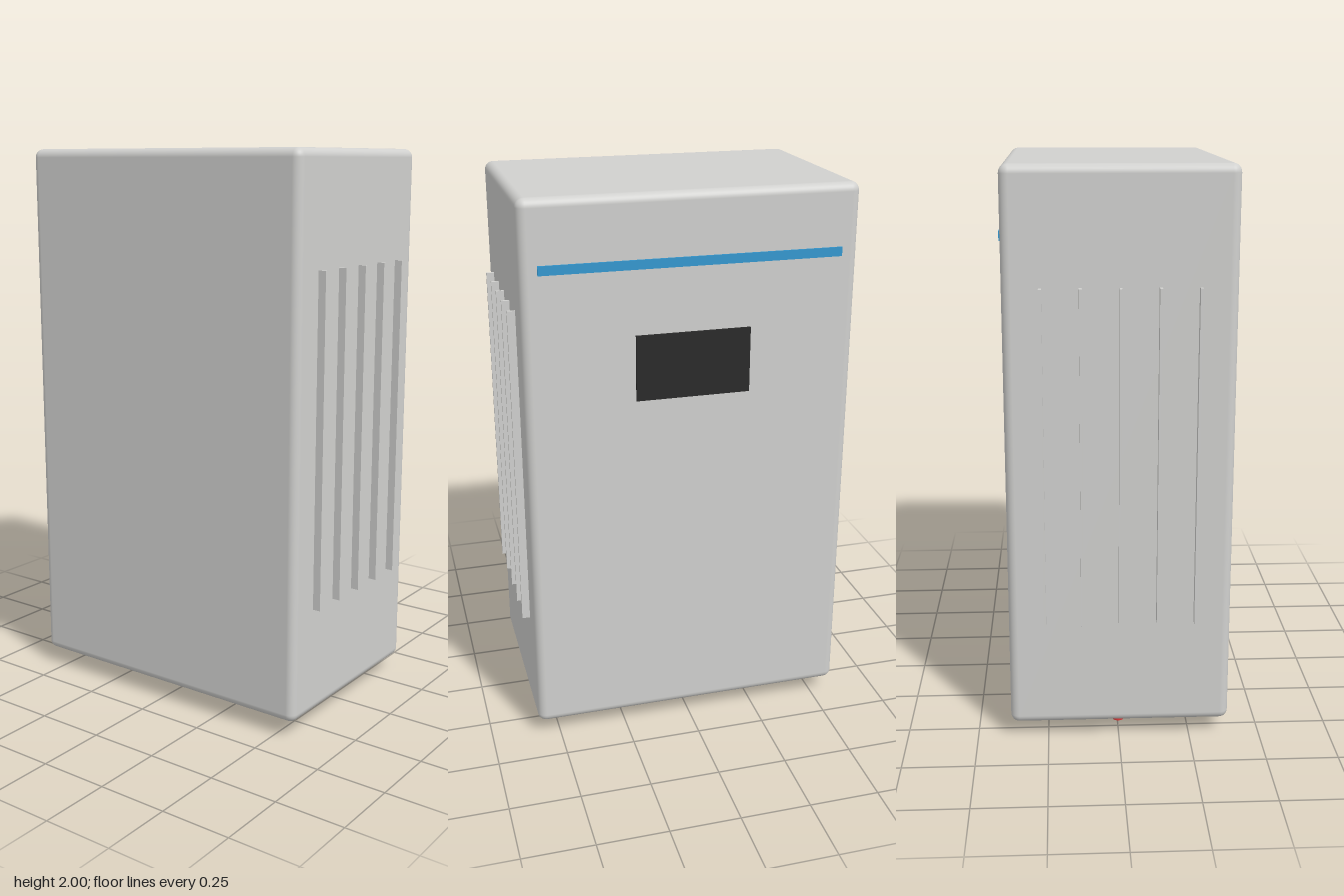
import * as THREE from 'three';
import { RoundedBoxGeometry } from 'three/addons/geometries/RoundedBoxGeometry.js';

const material = (name, color) => {
  const m = new THREE.MeshStandardMaterial({ color });
  m.name = name;
  return m;
};

export function createModel() {
  const casing = material('casing grey', 0xd0d0ce);
  const glass = material('display black', 0x2a2a2a);
  const blue = material('stripe blue', 0x3498d0);
  const red = material('terminal red', 0xd93636);

  const model = new THREE.Group();
  model.name = 'wallCabinet';

  const add = (name, geometry, mat, x, y, z) => {
    const mesh = new THREE.Mesh(geometry, mat);
    mesh.name = name;
    mesh.position.set(x, y, z);
    model.add(mesh);
  };

  const midZ = 0.003; // depth centre of the cabinet
  const bottomY = 0.06; // underside of the cabinet

  // Cabinet body
  add('cabinet', new RoundedBoxGeometry(1.16, 1.94, 0.77, 4, 0.03), casing, 0, 1.03, midZ);

  // Accent stripe and display on the back
  add('accentStripe', new THREE.BoxGeometry(1.04, 0.032, 0.008), blue, 0, 1.77, -0.383);
  add('display', new THREE.BoxGeometry(0.4, 0.23, 0.009), glass, 0, 1.415, -0.3855);

  // Cooling fins on both sides
  const finGeometry = new THREE.BoxGeometry(0.04, 1.165, 0.01);
  for (const side of [-1, 1]) {
    for (let i = -2; i <= 2; i++) {
      add('coolingFin', finGeometry, casing, side * 0.588, 1.0275, midZ + i * 0.13);
    }
  }

  // Round connectors hanging below the cabinet
  const connector = (name, x, radius, low, mat) => {
    const height = bottomY + 0.01 - low;
    const geometry = new THREE.CylinderGeometry(radius, radius, height, 24);
    add(name, geometry, mat, x, low + height / 2, midZ);
  };
  for (let i = 0; i < 8; i++) {
    connector('powerTerminal', -0.446 + i * 0.0655, 0.0195, 0, i % 2 ? glass : red);
  }
  connector('cableGland', 0.13, 0.016, 0.018, casing);
  connector('cableGland', 0.242, 0.016, 0.018, casing);
  connector('largeGland', 0.351, 0.025, 0.01, casing);
  connector('largeGland', 0.41, 0.025, 0.01, casing);
  connector('smallGland', 0.495, 0.012, 0.03, casing);

  return model;
}
